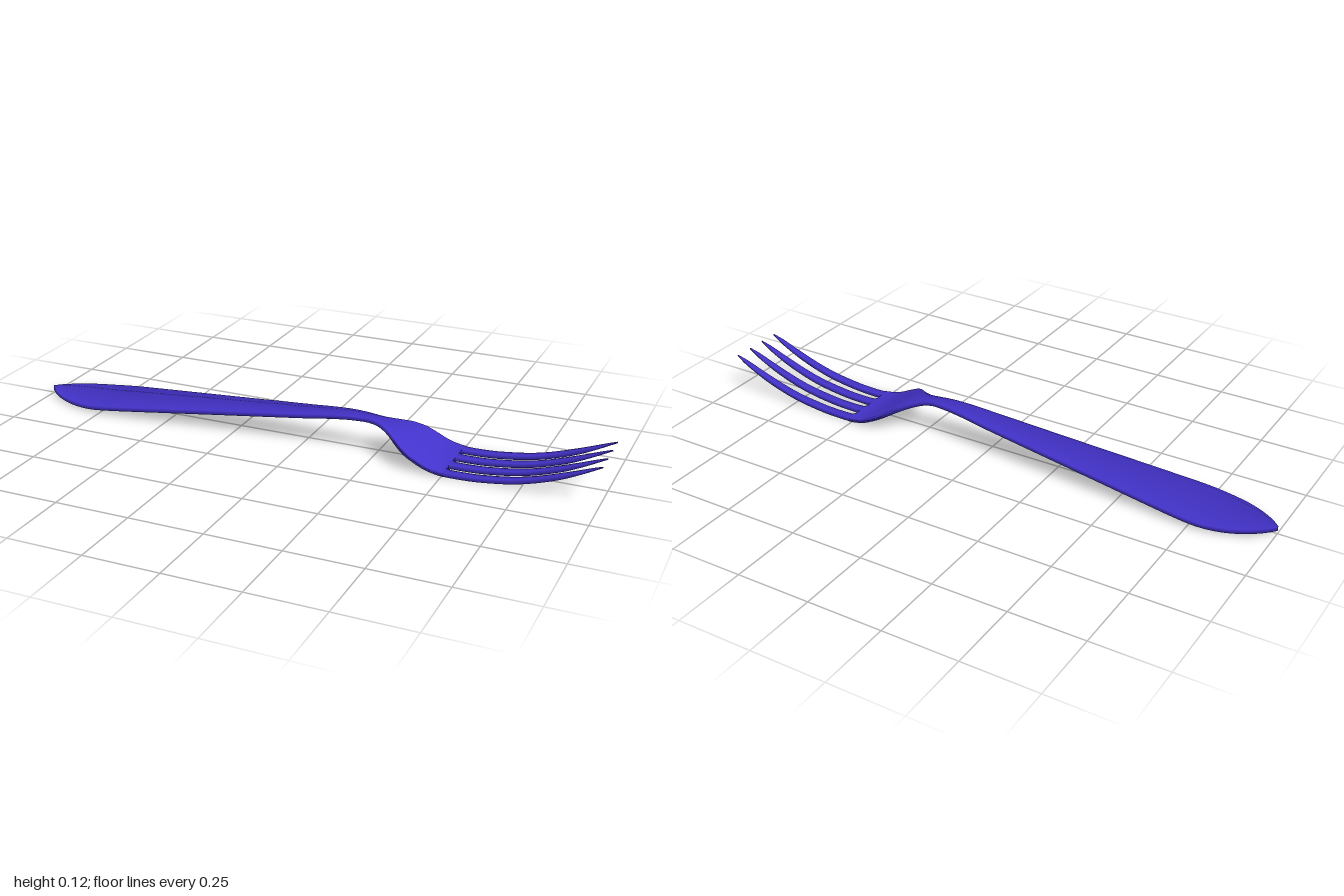
import * as THREE from 'three';

const material = new THREE.MeshStandardMaterial({ color: 0x4433cc, roughness: 0.6 });

// Smooth curve through [x, value] points, evaluated at x
function curve(points) {
  const slope = (i) => {
    const a = points[Math.max(i - 1, 0)], b = points[Math.min(i + 1, points.length - 1)];
    return (b[1] - a[1]) / (b[0] - a[0]);
  };
  return (x) => {
    let i = 0;
    while (i < points.length - 2 && x > points[i + 1][0]) i++;
    const [x0, y0] = points[i], [x1, y1] = points[i + 1];
    const h = x1 - x0, t = (x - x0) / h, s = 1 - t;
    return y0 * s * s * (1 + 2 * t) + y1 * t * t * (3 - 2 * t)
      + h * t * s * (s * slope(i) - t * slope(i + 1));
  };
}

// Side profile shared by every part
const height = curve([
  [-1, 0.019], [-0.9, 0.015], [-0.8, 0.016], [-0.7, 0.025], [-0.4, 0.055], [0, 0.095],
  [0.1, 0.106], [0.17, 0.11], [0.24, 0.106], [0.32, 0.084], [0.4, 0.044], [0.45, 0.021],
  [0.5, 0.01], [0.55, 0.008], [0.63, 0.012], [0.75, 0.03], [0.87, 0.067], [1, 0.123],
]);

// Half width of the handle, neck and head
const bodyWidth = curve([
  [-1, 0.002], [-0.97, 0.031], [-0.92, 0.064], [-0.86, 0.089], [-0.79, 0.103], [-0.73, 0.105],
  [-0.64, 0.099], [-0.3, 0.07], [0, 0.045], [0.18, 0.027], [0.225, 0.023], [0.26, 0.029],
  [0.3, 0.054], [0.34, 0.088], [0.375, 0.108], [0.41, 0.113], [0.46, 0.113], [0.505, 0.112],
]);

// Sweep a rectangular section along x; edges(x) gives [zMin, zMax],
// tilt(x) leans the shading normals outward for softly rounded edges
function sweep(name, x0, x1, steps, edges, half, tilt) {
  const pos = [], nor = [], index = [];
  for (let i = 0; i <= steps; i++) {
    const x = x0 + (x1 - x0) * i / steps;
    const up = new THREE.Vector2(height(x - 0.002) - height(x + 0.002), 0.004).normalize();
    const [zMin, zMax] = edges(x);
    for (const [u, w] of [[1, 1], [1, -1], [-1, -1], [-1, 1]]) {
      pos.push(x + up.x * u * half(x), height(x) + up.y * u * half(x), w > 0 ? zMax : zMin);
      const n = new THREE.Vector3(up.x * u, up.y * u, w * tilt(x)).normalize();
      nor.push(n.x, n.y, n.z);
    }
    if (i === steps) continue;
    for (let k = 0; k < 4; k++) {
      const a = i * 4 + k, b = i * 4 + (k + 1) % 4;
      index.push(a, a + 4, b, b, a + 4, b + 4);
    }
  }
  const e = steps * 4;
  index.push(0, 1, 2, 0, 2, 3, e, e + 2, e + 1, e, e + 3, e + 2);
  const geometry = new THREE.BufferGeometry();
  geometry.setAttribute('position', new THREE.Float32BufferAttribute(pos, 3));
  geometry.setAttribute('normal', new THREE.Float32BufferAttribute(nor, 3));
  geometry.setIndex(index);
  const mesh = new THREE.Mesh(geometry, material);
  mesh.name = name;
  return mesh;
}

export function createModel() {
  const group = new THREE.Group();
  group.name = 'fork';
  const half = () => 0.0075;
  const symmetric = (x) => [-bodyWidth(x), bodyWidth(x)];

  // Leaf-shaped handle tapering to the neck
  group.add(sweep('handle', -1, 0.2, 120, symmetric, half, () => 0.8));

  // Shoulders and flat head
  group.add(sweep('head', 0.2, 0.505, 60, symmetric, half,
    (x) => THREE.MathUtils.lerp(0.8, 0.15, THREE.MathUtils.smoothstep(x, 0.2, 0.4))));

  // Four tines, with a small fillet at the root and a pointed tip
  const tineWidth = curve([
    [0.505, 0.021], [0.511, 0.0155], [0.525, 0.0138], [0.7, 0.0125],
    [0.9, 0.0095], [0.955, 0.0085], [0.98, 0.005], [0.998, 0.001],
  ]);
  const tineHalf = (x) => 0.0075 - 0.0055 * THREE.MathUtils.smoothstep(x, 0.85, 1);
  const tines = new THREE.Group();
  tines.name = 'tines';
  for (const k of [-1.5, -0.5, 0.5, 1.5]) {
    const edges = (x) => {
      const z = k * (0.0635 + 0.003 * (x - 0.5) / 0.5), w = tineWidth(x);
      return [Math.max(z - w, -0.112), Math.min(z + w, 0.112)];
    };
    tines.add(sweep('tine', 0.505, 0.998, 80, edges, tineHalf, () => 0.7));
  }
  group.add(tines);
  return group;
}
